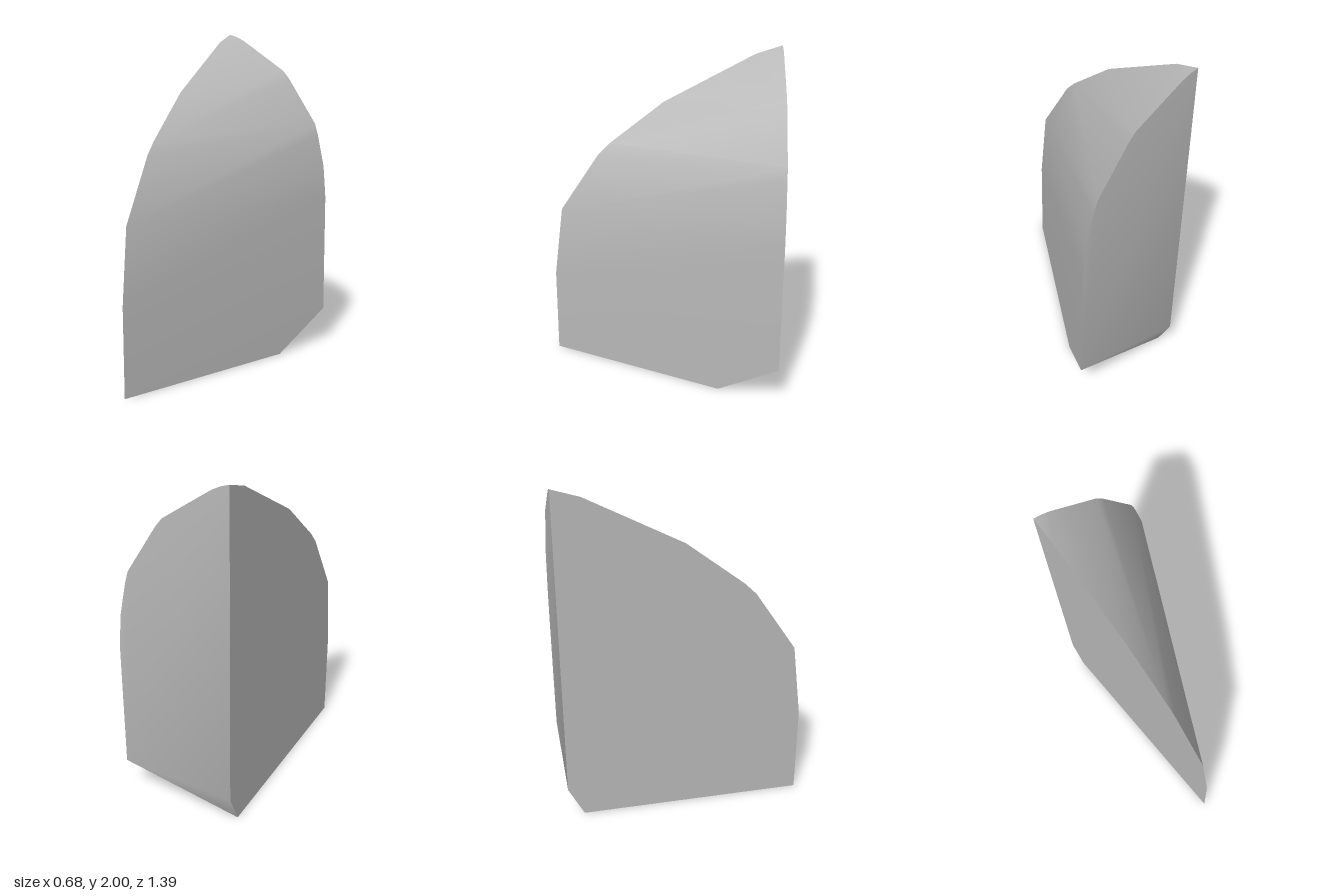
import * as THREE from 'three';
import { ConvexGeometry } from 'three/addons/geometries/ConvexGeometry.js';
import { toCreasedNormals } from 'three/addons/utils/BufferGeometryUtils.js';

const X = 0.338; // left and right limits
const Z = 0.695; // front and back limits

// curved edge of the flat side wall, as [z, y]
const sideProfile = [
  [Z, 0], [Z, 0.53], [0.64, 0.97], [0.4, 1.33], [0.33, 1.4],
  [0, 1.66], [-0.54, 1.95], [-Z, 2], [-Z, 0.18], [-0.605, 0],
];

// curved edge of the flat back wall, as [x, y]
const backProfile = [
  [X, 0.23], [X, 0.97], [0.322, 1.17], [0.28, 1.37], [0.26, 1.44],
  [0.08, 1.72], [0.04, 1.77], [-0.24, 1.96], [-0.29, 1.985],
];

export function createModel() {
  const stoneGrey = new THREE.MeshStandardMaterial({ color: 0xb8b8b8 });
  stoneGrey.name = 'stoneGrey';

  // the solid spans both walls, with a chipped lower corner
  const points = [
    ...sideProfile.map(([z, y]) => new THREE.Vector3(-X, y, z)),
    ...backProfile.map(([x, y]) => new THREE.Vector3(x, y, -Z)),
    new THREE.Vector3(0.17, 0, -0.35),
  ];
  const geometry = toCreasedNormals(new ConvexGeometry(points), Math.PI / 6);

  const wedge = new THREE.Mesh(geometry, stoneGrey);
  wedge.name = 'curvedWedge';

  const model = new THREE.Group();
  model.name = 'wedgeBlock';
  model.add(wedge);
  return model;
}
